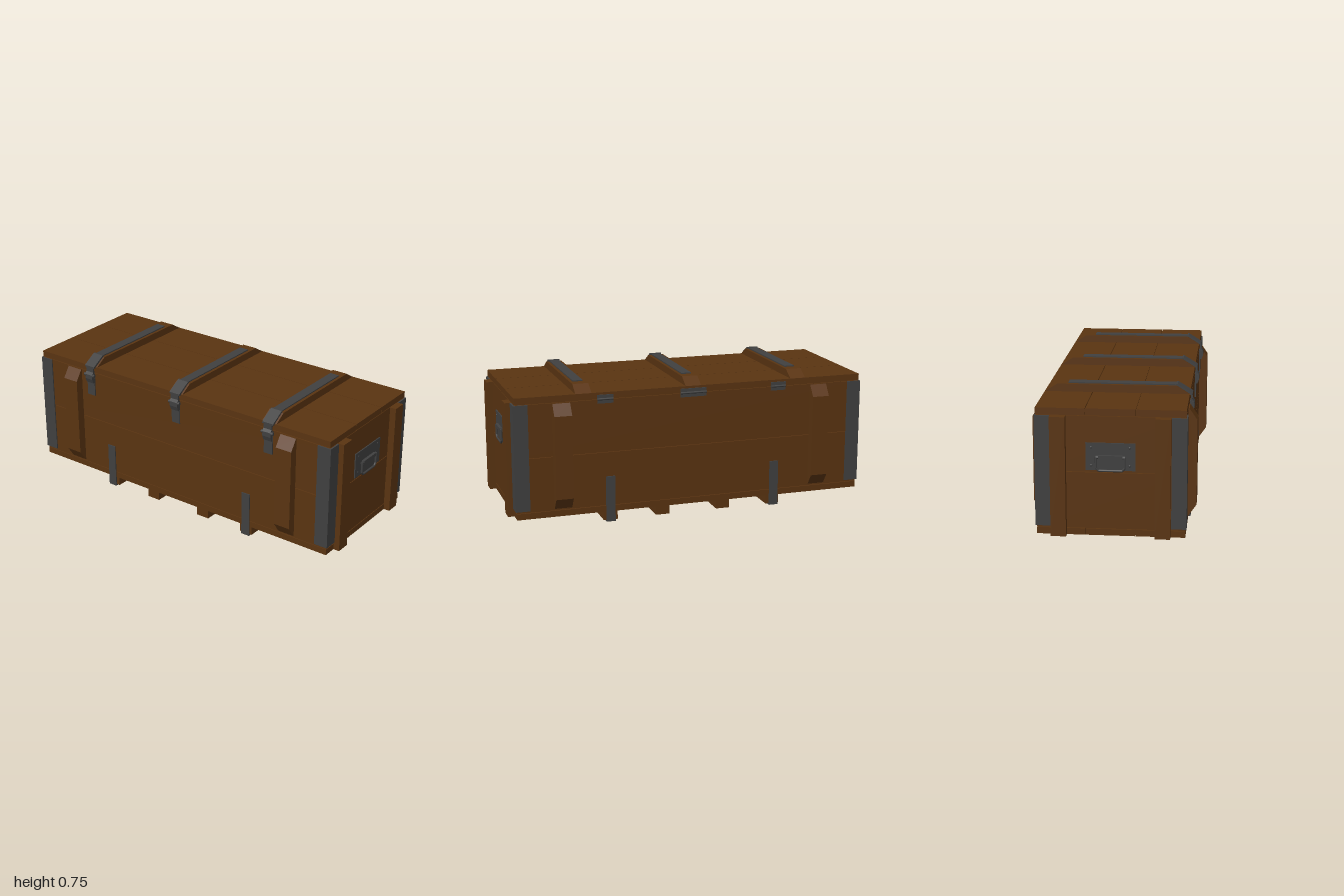
import * as THREE from 'three';

const wood = new THREE.MeshStandardMaterial({ color: 0x5a3411 });
wood.name = 'brown wood';
const metal = new THREE.MeshStandardMaterial({ color: 0x404040 });
metal.name = 'dark metal';

export function createModel() {
  const model = new THREE.Group();
  model.name = 'woodenCrate';

  function add(parent, name, geometry, material) {
    const mesh = new THREE.Mesh(geometry, material);
    mesh.name = name;
    parent.add(mesh);
    return mesh;
  }
  // Box given by its lower and upper bounds
  function box(parent, name, material, [x0, x1], [y0, y1], [z0, z1]) {
    const g = new THREE.BoxGeometry(x1 - x0, y1 - y0, z1 - z0);
    g.translate((x0 + x1) / 2, (y0 + y1) / 2, (z0 + z1) / 2);
    return add(parent, name, g, material);
  }
  // Side profile of [z, y] points extruded along x, centred on x
  function prism(parent, name, material, x, width, points) {
    const shape = new THREE.Shape(points.map(([z, y]) => new THREE.Vector2(z, y)));
    const g = new THREE.ExtrudeGeometry(shape, { depth: width, bevelEnabled: false });
    g.translate(0, 0, -width / 2).rotateY(-Math.PI / 2).translate(x, 0, 0);
    return add(parent, name, g, material);
  }
  function group(name) {
    const g = new THREE.Group();
    g.name = name;
    model.add(g);
    return g;
  }

  // Inner core behind the plank seams
  box(model, 'core', wood, [-0.955, 0.955], [0.06, 0.70], [-0.36, 0.36]);

  // Two boards high on every wall
  const walls = group('walls');
  for (const y of [[0.091, 0.381], [0.385, 0.668]]) {
    for (const s of [-1, 1]) {
      box(walls, 'longBoard', wood, [-0.965, 0.965], y, s > 0 ? [0.35, 0.37] : [-0.37, -0.35]);
      box(walls, 'endBoard', wood, s > 0 ? [0.945, 0.965] : [-0.965, -0.945], y, [-0.35, 0.35]);
    }
  }

  // Three planks each for the lid and the floor
  const planks = group('lidAndFloorPlanks');
  for (const z of [[-0.37, -0.126], [-0.123, 0.123], [0.126, 0.37]]) {
    box(planks, 'lidPlank', wood, [-0.966, 0.966], [0.672, 0.706], z);
    box(planks, 'floorPlank', wood, [-0.966, 0.966], [0.055, 0.088], z);
  }

  // Lid battens with metal straps and front latches
  for (const x of [-0.6, 0, 0.6]) {
    const g = group('lidFastening');
    prism(g, 'lidBatten', wood, x, 0.086,
      [[-0.37, 0.705], [0.37, 0.705], [0.305, 0.746], [-0.305, 0.746]]);
    prism(g, 'lidStrap', metal, x, 0.054,
      [[-0.25, 0.744], [0.304, 0.744], [0.368, 0.704], [0.376, 0.704], [0.376, 0.71], [0.308, 0.752], [-0.25, 0.752]]);
    prism(g, 'strapCap', metal, x, 0.066,
      [[0.3, 0.744], [0.37, 0.7], [0.384, 0.7], [0.384, 0.709], [0.308, 0.755], [0.3, 0.755]]);
    box(g, 'latchPlate', metal, [x - 0.026, x + 0.026], [0.532, 0.665], [0.369, 0.377]);
    prism(g, 'latchLever', metal, x, 0.05,
      [[0.375, 0.61], [0.385, 0.61], [0.394, 0.635], [0.394, 0.66], [0.384, 0.675], [0.384, 0.705], [0.374, 0.705]]);
    const pin = add(g, 'latchPin', new THREE.CylinderGeometry(0.009, 0.009, 0.072, 12), metal);
    pin.rotation.z = Math.PI / 2;
    pin.position.set(x, 0.655, 0.385);
  }

  // Chamfered uprights on front and back
  for (const side of [0, Math.PI]) {
    const g = group('wallUprights');
    for (const x of [-0.72, 0.72]) {
      prism(g, 'upright', wood, x, 0.094,
        [[0.368, 0.1], [0.375, 0.1], [0.416, 0.16], [0.416, 0.605], [0.375, 0.665], [0.368, 0.665]]);
    }
    g.rotation.y = side;
  }

  // Metal corner angles and end battens
  for (const sx of [-1, 1]) for (const sz of [-1, 1]) {
    const g = group('corner');
    const span = (a, b, s) => (s > 0 ? [a, b] : [-b, -a]);
    box(g, 'cornerLongFlange', metal, span(0.896, 0.973, sx), [0.1, 0.668], span(0.369, 0.376, sz));
    box(g, 'cornerEndFlange', metal, span(0.964, 0.973, sx), [0.1, 0.668], span(0.3, 0.37, sz));
    box(g, 'endBatten', wood, span(0.964, 1, sx), [0.055, 0.668], span(0.22, 0.297, sz));
  }

  // Floor runners; the outer pair is wrapped by metal straps
  for (const x of [-0.462, -0.172, 0.172, 0.462]) {
    const g = group('floorRunner');
    box(g, 'runner', wood, [x - 0.038, x + 0.038], [0.008, 0.056], [-0.369, 0.369]);
    if (Math.abs(x) > 0.3) {
      const sx = x + 0.006 * Math.sign(x) * (x < 0 ? 1 : 0);
      prism(g, 'runnerStrap', metal, sx, 0.05,
        [[-0.376, 0], [0.376, 0], [0.376, 0.25], [0.369, 0.25], [0.369, 0.007],
          [-0.369, 0.007], [-0.369, 0.25], [-0.376, 0.25]]);
    }
  }

  // Hinges along the back of the lid
  for (const [x, w] of [[-0.485, 0.085], [0, 0.145], [0.485, 0.085]]) {
    const g = group('hinge');
    box(g, 'hingeLeaf', metal, [x - w / 2, x + w / 2], [0.648, 0.694], [-0.375, -0.368]);
    const pin = add(g, 'hingePin', new THREE.CylinderGeometry(0.006, 0.006, w, 10), metal);
    pin.rotation.z = Math.PI / 2;
    pin.position.set(x, 0.671, -0.375);
  }

  // Carrying handles on both ends
  for (const side of [0, Math.PI]) {
    const g = group('endHandle');
    box(g, 'handlePlate', metal, [0.964, 0.971], [0.395, 0.535], [-0.123, 0.123]);
    for (const z of [-0.095, 0.095]) for (const y of [0.42, 0.512]) {
      const rivet = add(g, 'rivet', new THREE.SphereGeometry(0.006, 10, 6), metal);
      rivet.position.set(0.971, y, z);
      rivet.scale.x = 0.5;
    }
    const corners = [[0.465, -0.07], [0.41, -0.07], [0.396, -0.058], [0.396, 0.058], [0.41, 0.07], [0.465, 0.07]];
    const path = new THREE.CurvePath();
    const pts = corners.map(([y, z]) => new THREE.Vector3(0.98, y, z));
    for (let i = 1; i < pts.length; i++) path.add(new THREE.LineCurve3(pts[i - 1], pts[i]));
    add(g, 'handleLoop', new THREE.TubeGeometry(path, 60, 0.006, 8), metal);
    const bar = add(g, 'handlePivot', new THREE.CylinderGeometry(0.008, 0.008, 0.145, 10), metal);
    bar.rotation.x = Math.PI / 2;
    bar.position.set(0.978, 0.464, 0);
    box(g, 'handleBracket', metal, [0.97, 0.986], [0.455, 0.474], [-0.06, 0.06]);
    g.rotation.y = side;
  }

  return model;
}
